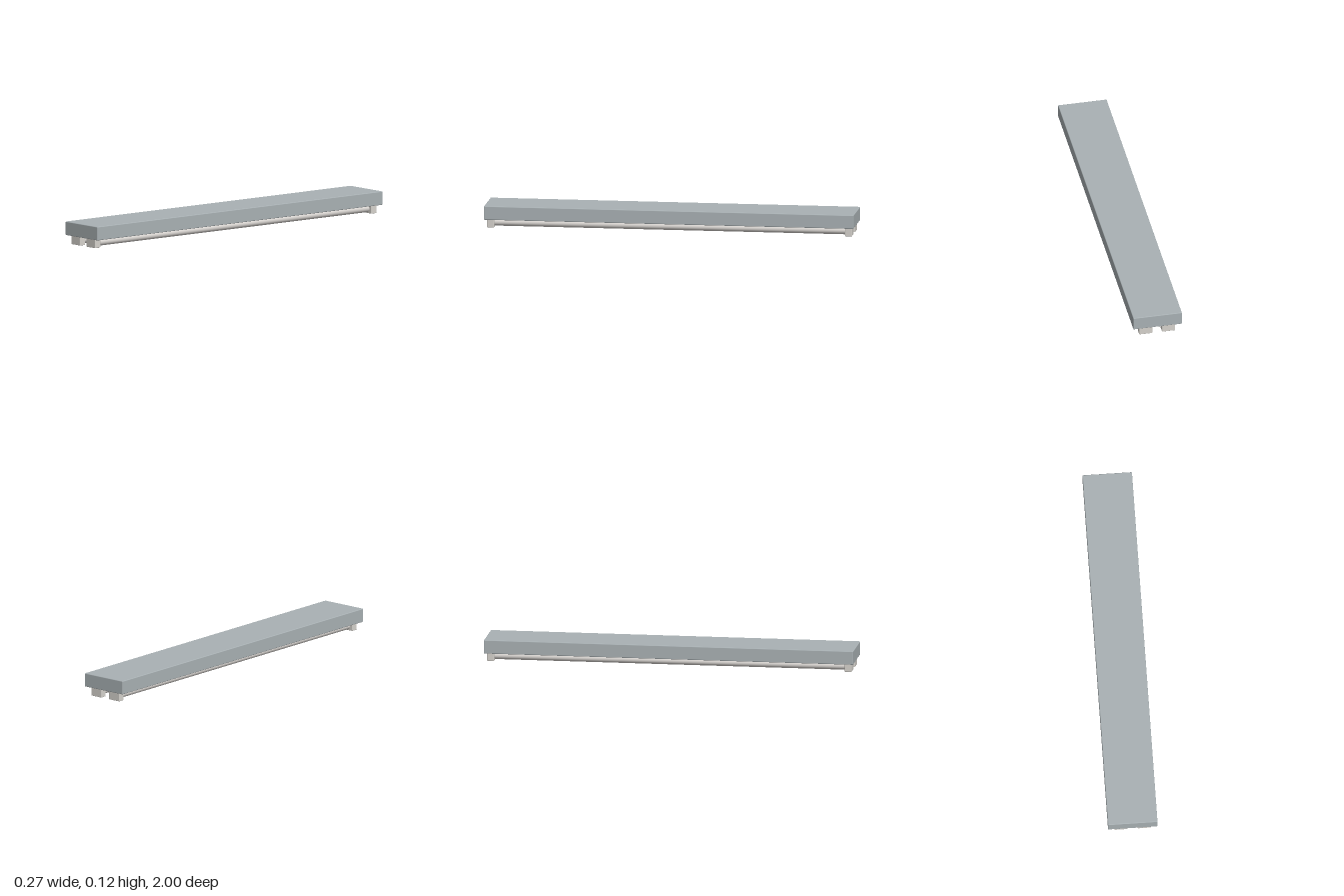
import * as THREE from 'three';
import { RoundedBoxGeometry } from 'three/addons/geometries/RoundedBoxGeometry.js';

export function createModel() {
  const group = new THREE.Group();
  const housingMat = new THREE.MeshStandardMaterial({ color: 0xa9b1b4 });
  const socketMat = new THREE.MeshStandardMaterial({ color: 0xd6d3cd });
  const tubeMat = new THREE.MeshStandardMaterial({ color: 0xdedad6 });

  const add = (name, geometry, material, x, y, z) => {
    const mesh = new THREE.Mesh(geometry, material);
    mesh.name = name;
    mesh.position.set(x, y, z);
    group.add(mesh);
  };

  // Long housing with slightly softened edges
  add('housing', new RoundedBoxGeometry(0.266, 0.074, 2, 2, 0.004), housingMat, 0, 0.084, 0);

  // Two lamp tubes, each held by a socket at both ends
  const socketGeo = new RoundedBoxGeometry(0.072, 0.048, 0.038, 2, 0.003);
  const tubeGeo = new THREE.CylinderGeometry(0.021, 0.021, 1.91, 32).rotateX(Math.PI / 2);
  for (const [side, sx] of [['left', 1], ['right', -1]]) {
    const x = sx * 0.0625;
    add(`${side}Tube`, tubeGeo, tubeMat, x, 0.026, 0);
    add(`${side}FrontSocket`, socketGeo, socketMat, x, 0.024, 0.968);
    add(`${side}BackSocket`, socketGeo, socketMat, x, 0.024, -0.968);
  }
  return group;
}
